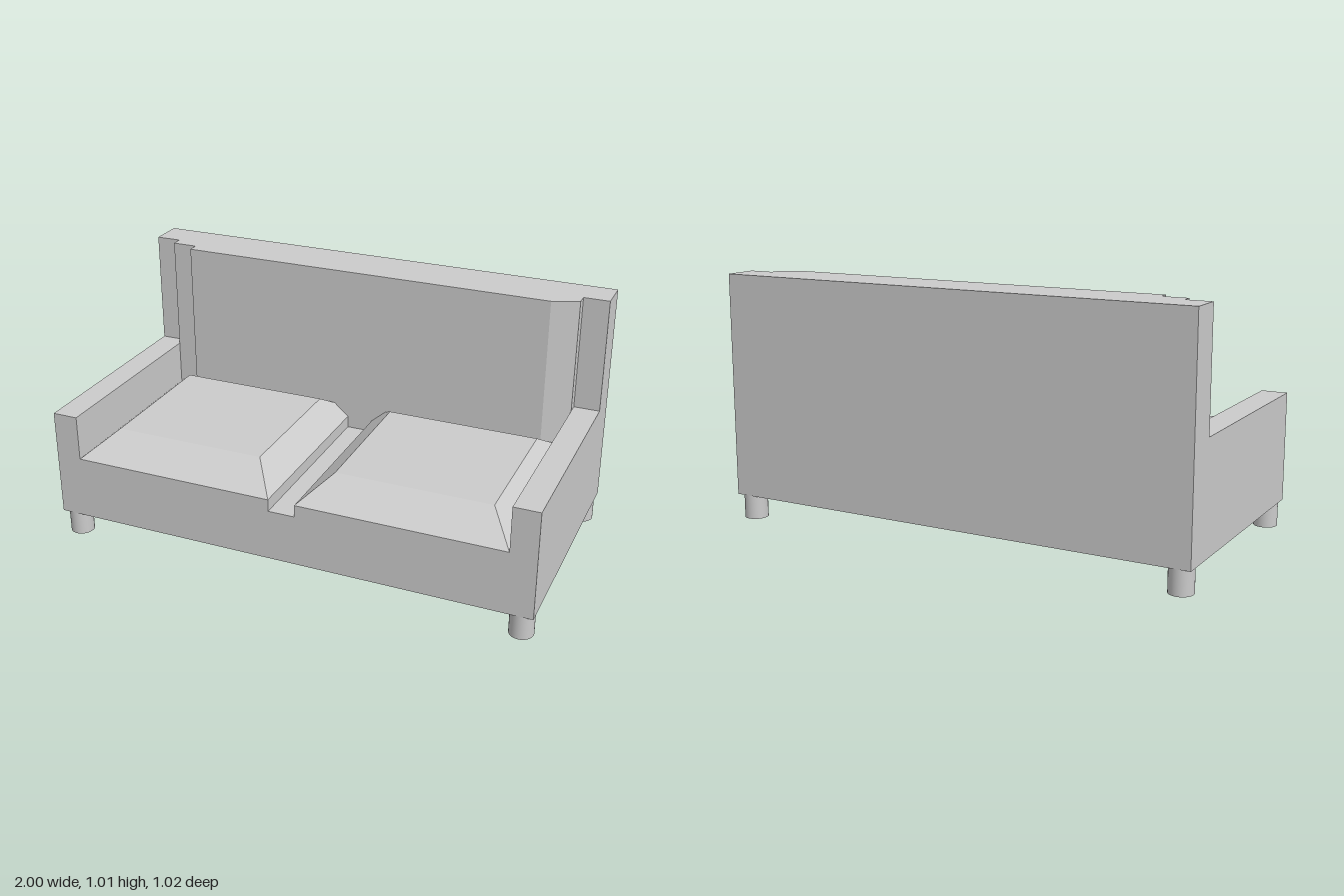
import * as THREE from 'three';

const material = new THREE.MeshStandardMaterial({ color: 0xcccccc });
const flat = new THREE.MeshStandardMaterial({ color: 0xcccccc, flatShading: true });

const shapeOf = (points) => new THREE.Shape(points.map(([x, y]) => new THREE.Vector2(x, y)));

// Cushion top: a flat panel with sloping borders falling to a low rim
function cushionGeometry(x0, x1, z0, z1, low, high, insetX, insetZ) {
  const ring = (ix, iz, y) => [
    [x0 + ix, y, z1 - iz], [x1 - ix, y, z1 - iz],
    [x1 - ix, y, z0 + iz], [x0 + ix, y, z0 + iz],
  ];
  const vertices = [...ring(0, 0, low), ...ring(insetX, insetZ, high)];
  const index = [4, 5, 6, 4, 6, 7];
  for (let i = 0; i < 4; i++) {
    const j = (i + 1) % 4;
    index.push(i, j, j + 4, i, j + 4, i + 4);
  }
  const geometry = new THREE.BufferGeometry();
  geometry.setAttribute('position', new THREE.Float32BufferAttribute(vertices.flat(), 3));
  geometry.setIndex(index);
  const faceted = geometry.toNonIndexed();
  faceted.computeVertexNormals();
  return faceted;
}

export function createModel() {
  const sofa = new THREE.Group();
  sofa.name = 'sofa';
  const add = (name, geometry, mat = material) => {
    const mesh = new THREE.Mesh(geometry, mat);
    mesh.name = name;
    sofa.add(mesh);
    return mesh;
  };

  // Base and arms: one front profile with a groove between the seats
  const half = [[1, 0.1], [1, 0.545], [0.895, 0.545], [0.895, 0.36], [0.055, 0.36], [0.055, 0.31]];
  const mirrored = half.map(([x, y]) => [-x, y]).reverse();
  const body = new THREE.ExtrudeGeometry(shapeOf([...half, ...mirrored]), { depth: 0.88, bevelEnabled: false });
  body.translate(0, 0, -0.37);
  add('baseAndArms', body);

  // Backrest: plan outline (x, -z), stepped at one end and chamfered at the other
  const plan = [
    [-1, 0.51], [-1, 0.37], [-0.895, 0.37], [-0.895, 0.325], [-0.79, 0.325], [-0.79, 0.28],
    [0.79, 0.28], [0.895, 0.325], [0.895, 0.37], [1, 0.37], [1, 0.51],
  ];
  const back = new THREE.ExtrudeGeometry(shapeOf(plan), { depth: 0.915, bevelEnabled: false });
  back.rotateX(-Math.PI / 2).translate(0, 0.1, 0);
  add('backrest', back);

  // Seat cushions, with their rear borders running under the backrest
  add('rightCushion', cushionGeometry(-0.895, -0.055, -0.37, 0.51, 0.36, 0.45, 0.105, 0.15), flat);
  add('leftCushion', cushionGeometry(0.055, 0.895, -0.37, 0.51, 0.36, 0.45, 0.105, 0.15), flat);

  // Round legs at the corners
  for (const x of [-0.947, 0.947]) {
    for (const z of [-0.46, 0.46]) {
      add('leg', new THREE.CylinderGeometry(0.048, 0.048, 0.1, 32)).position.set(x, 0.05, z);
    }
  }
  return sofa;
}
